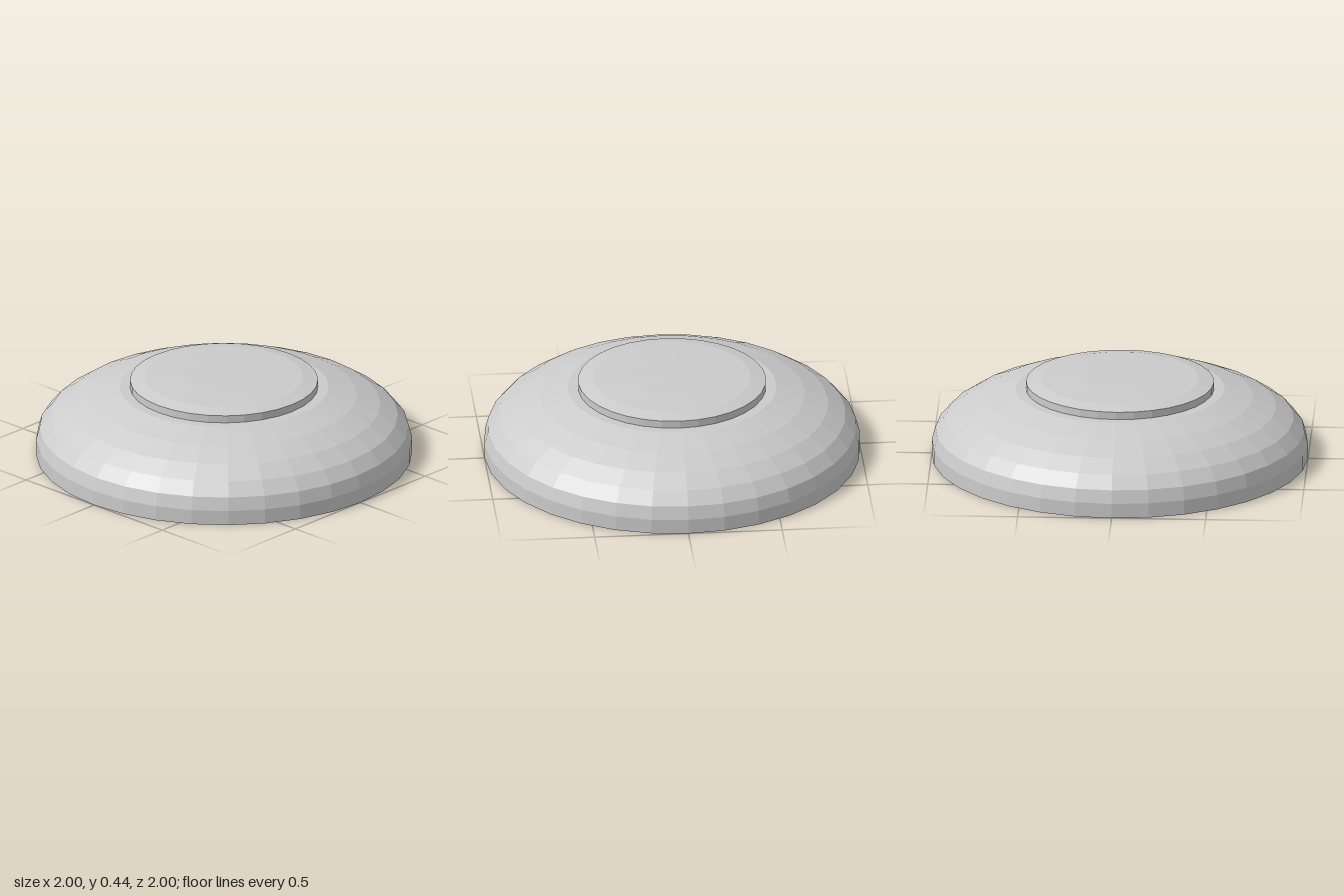
import * as THREE from 'three';

const SIDES = 32;

// Revolve [radius, height] pairs, listed from bottom to top, into a faceted solid
function revolve(name, profile) {
  const points = profile.map(([r, y]) => new THREE.Vector2(r, y));
  const material = new THREE.MeshStandardMaterial({ color: 0xcccccc, flatShading: true });
  const mesh = new THREE.Mesh(new THREE.LatheGeometry(points, SIDES), material);
  mesh.name = name;
  return mesh;
}

export function createModel() {
  const group = new THREE.Group();
  group.name = 'domedBase';

  // Body: short upright rim, then a squashed quarter round cut flat at the top
  const body = [[0, 0], [1, 0]];
  for (let i = 0; i <= 5; i++) {
    const a = (i * Math.PI) / 16;
    body.push([Math.cos(a), 0.08 + 0.36 * Math.sin(a)]);
  }
  body.push([0, body[body.length - 1][1]]);
  group.add(revolve('body', body));

  // Cap: raised disc with a slightly domed top
  group.add(revolve('cap', [
    [0, 0.375], [0.5, 0.375], [0.5, 0.42], [0.42, 0.437], [0.22, 0.444], [0, 0.445],
  ]));

  return group;
}
